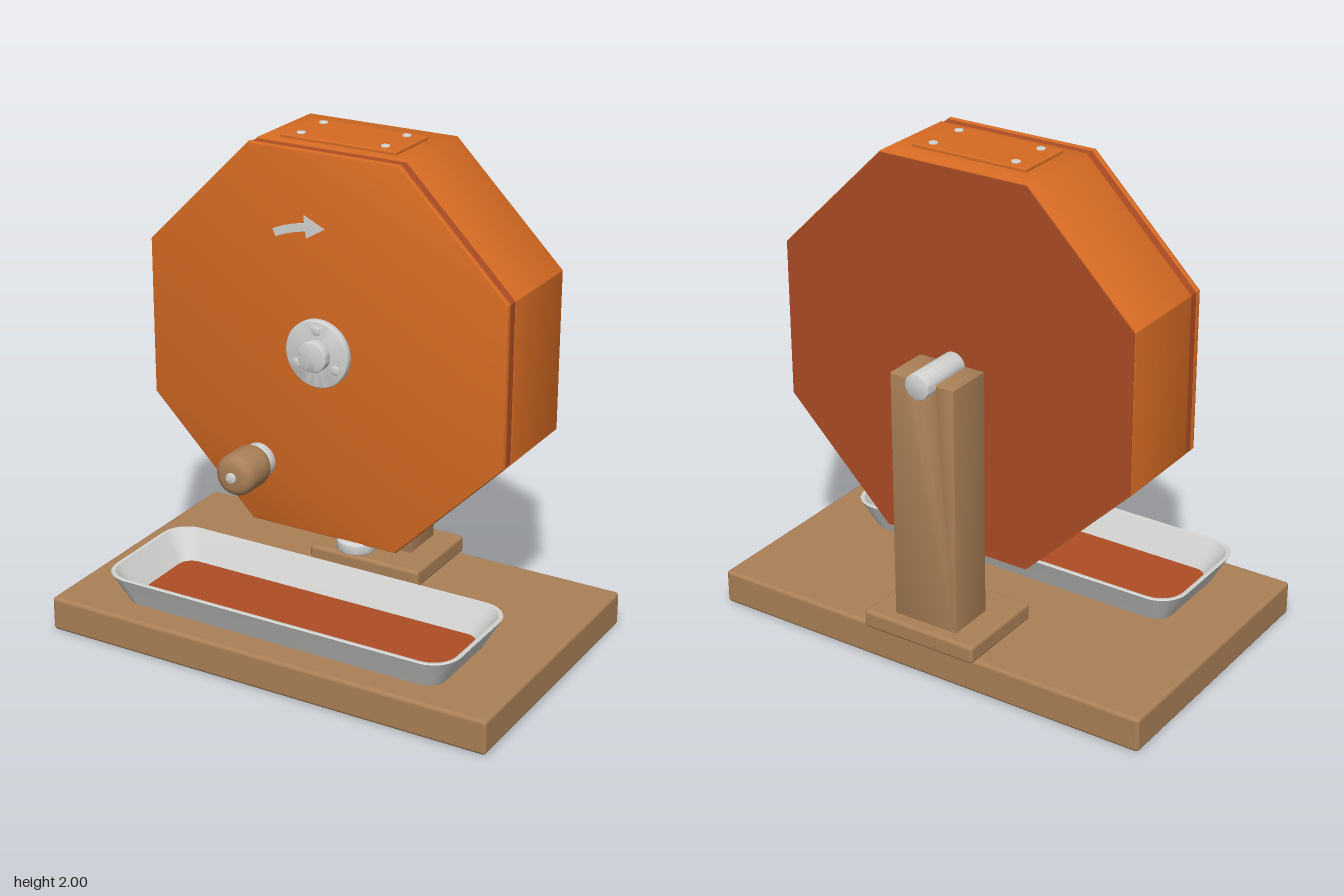
import * as THREE from 'three';
import { toCreasedNormals } from 'three/addons/utils/BufferGeometryUtils.js';
import { RoundedBoxGeometry } from 'three/addons/geometries/RoundedBoxGeometry.js';

const mat = (name, color) => Object.assign(new THREE.MeshStandardMaterial({ color }), { name });
const AXIS_Y = 1.212; // height of the drum's axle

export function createModel() {
  const model = new THREE.Group();
  model.name = 'crankDrum';
  const orange = mat('orange', 0xd66b23);
  const rust = mat('rust', 0xad4c24);
  const wood = mat('wood', 0xaa8057);
  const metal = mat('metal', 0xd2d2d0);

  const add = (name, geometry, material, x = 0, y = 0, z = 0) => {
    const mesh = new THREE.Mesh(geometry, material);
    mesh.name = name;
    mesh.position.set(x, y, z);
    model.add(mesh);
    return mesh;
  };

  // Box given by its limits
  const box = (name, material, x0, x1, y0, y1, z0, z1, r = 0.015) =>
    add(name, new RoundedBoxGeometry(x1 - x0, y1 - y0, z1 - z0, 3, r), material,
      (x0 + x1) / 2, (y0 + y1) / 2, (z0 + z1) / 2);

  // Turned part with slightly rounded ends, along z (or along y when upright)
  const turned = (name, material, r, from, to, a, b, round = 0.006, upright = false) => {
    const len = to - from, pts = [new THREE.Vector2(0, 0)];
    for (const [cy, start] of [[round, -Math.PI / 2], [len - round, 0]]) {
      for (let i = 0; i <= 4; i++) {
        const t = start + (i / 4) * Math.PI / 2;
        pts.push(new THREE.Vector2(r - round + round * Math.cos(t), cy + round * Math.sin(t)));
      }
    }
    pts.push(new THREE.Vector2(0, len));
    const geo = toCreasedNormals(new THREE.LatheGeometry(pts, 40), 0.6);
    if (!upright) geo.rotateX(Math.PI / 2);
    return upright ? add(name, geo, material, a, from, b) : add(name, geo, material, a, b, from);
  };

  // Extrusion along z between two limits, with an inset bevel
  const slab = (name, shape, material, z0, z1, bevel = 0, y = 0) => {
    const geo = new THREE.ExtrudeGeometry(shape, {
      depth: z1 - z0 - 2 * bevel, bevelEnabled: bevel > 0, bevelSize: bevel,
      bevelThickness: bevel, bevelOffset: -bevel, bevelSegments: 2, curveSegments: 16,
    });
    geo.translate(0, 0, bevel);
    return add(name, toCreasedNormals(geo, 0.6), material, 0, y, z0);
  };

  const octagon = (apothem) => {
    const r = apothem / Math.cos(Math.PI / 8);
    return new THREE.Shape(Array.from({ length: 8 }, (_, i) => {
      const a = (i + 0.5) * Math.PI / 4;
      return new THREE.Vector2(r * Math.cos(a), r * Math.sin(a));
    }));
  };

  // Base board and foot of the stand
  box('baseBoard', wood, -0.96, 0.96, 0, 0.142, -0.577, 0.6);
  box('postFoot', wood, -0.25, 0.25, 0.135, 0.21, -0.6, -0.2);

  // Post with a rounded cradle for the axle
  const post = new THREE.Shape();
  post.moveTo(-0.142, 0.2);
  post.lineTo(0.142, 0.2);
  post.lineTo(0.142, 1.222);
  post.lineTo(0.06, 1.222);
  post.absarc(0, 1.212, 0.06, 0, Math.PI, true);
  post.lineTo(-0.06, 1.222);
  post.lineTo(-0.142, 1.222);
  post.closePath();
  slab('post', post, wood, -0.546, -0.342, 0.01);
  turned('axle', metal, 0.052, -0.577, -0.3, 0, AXIS_Y);

  // Octagonal drum: back panel, body, seam band and front lid
  slab('drumBack', octagon(0.764), rust, -0.342, -0.334, 0, AXIS_Y);
  slab('drumBody', octagon(0.768), orange, -0.339, 0.055, 0.006, AXIS_Y);
  slab('drumSeam', octagon(0.764), rust, 0.05, 0.094, 0, AXIS_Y);
  slab('drumLid', octagon(0.768), orange, 0.089, 0.118, 0.01, AXIS_Y);

  // Screwed hatch on top
  box('hatch', orange, -0.248, 0.248, 1.965, 1.994, -0.24, 0.008, 0.007);
  for (const x of [-0.179, 0.179]) for (const z of [-0.199, -0.036])
    turned('hatchScrew', metal, 0.017, 1.98, 2.0, x, z, 0.003, true);

  // Hub with three bolts
  turned('hubSpacer', metal, 0.06, 0.11, 0.14, 0, AXIS_Y);
  turned('hubFlange', metal, 0.134, 0.13, 0.163, 0, AXIS_Y);
  turned('hubCap', metal, 0.061, 0.155, 0.201, 0, AXIS_Y);
  for (let i = 0; i < 3; i++) {
    const a = Math.PI / 2 + i * Math.PI * 2 / 3;
    turned('hubBolt', metal, 0.019, 0.155, 0.169, 0.095 * Math.cos(a), AXIS_Y + 0.095 * Math.sin(a), 0.003);
  }

  // Crank handle
  turned('handleCollar', metal, 0.07, 0.112, 0.16, -0.282, 0.706);
  turned('handleGrip', wood, 0.084, 0.147, 0.325, -0.282, 0.706, 0.04);
  turned('handlePin', metal, 0.021, 0.31, 0.336, -0.282, 0.706, 0.004);

  // Outlet plug under the drum
  turned('outletPlug', metal, 0.079, 0.404, 0.45, 0.124, 0.067, 0.008, true);

  // Curved direction arrow
  const arrow = new THREE.Shape();
  const tail = Math.PI / 2 + 0.44, neck = Math.PI / 2 + 0.15;
  arrow.absarc(0, 0, 0.465, tail, neck, true);
  arrow.lineTo(-0.066, 0.433);
  arrow.lineTo(0.012, 0.48);
  arrow.lineTo(-0.076, 0.52);
  arrow.absarc(0, 0, 0.497, neck, tail, false);
  arrow.closePath();
  slab('directionArrow', arrow, metal, 0.116, 0.122, 0, AXIS_Y);

  // Tray lofted through rounded rectangles: half width, half depth, corner radius, height
  const ring = (hx, hz, r, y) => {
    const pts = [];
    [[1, 1], [-1, 1], [-1, -1], [1, -1]].forEach(([sx, sz], q) => {
      for (let i = 0; i <= 8; i++) {
        const a = (q + i / 8) * Math.PI / 2;
        pts.push([sx * (hx - r) + r * Math.cos(a), y, sz * (hz - r) + r * Math.sin(a)]);
      }
    });
    return pts;
  };
  const rings = [
    ring(0.698, 0.216, 0.07, 0.143), ring(0.767, 0.275, 0.115, 0.266), ring(0.762, 0.27, 0.11, 0.27),
    ring(0.75, 0.258, 0.1, 0.268), ring(0.672, 0.193, 0.06, 0.155),
  ];
  const n = rings[0].length, index = [];
  for (let k = 0; k < rings.length - 1; k++) for (let i = 0; i < n; i++) {
    const j = (i + 1) % n, a = k * n + i, b = k * n + j;
    index.push(a, a + n, b, b, a + n, b + n);
  }
  const top = (rings.length - 1) * n;
  for (let i = 1; i < n - 1; i++) index.push(0, i, i + 1, top, top + i + 1, top + i);
  const trayGeo = new THREE.BufferGeometry();
  trayGeo.setAttribute('position', new THREE.Float32BufferAttribute(rings.flat(2), 3));
  trayGeo.setIndex(index);
  add('tray', toCreasedNormals(trayGeo, 0.6), metal, 0, 0, 0.265);

  // Coloured liner on the tray floor
  const liner = new THREE.Shape(ring(0.673, 0.194, 0.06, 0).map(([x, , z]) => new THREE.Vector2(x, z)));
  add('trayLiner', new THREE.ExtrudeGeometry(liner, { depth: 0.006, bevelEnabled: false }).rotateX(-Math.PI / 2),
    rust, 0, 0.153, 0.265);

  return model;
}
